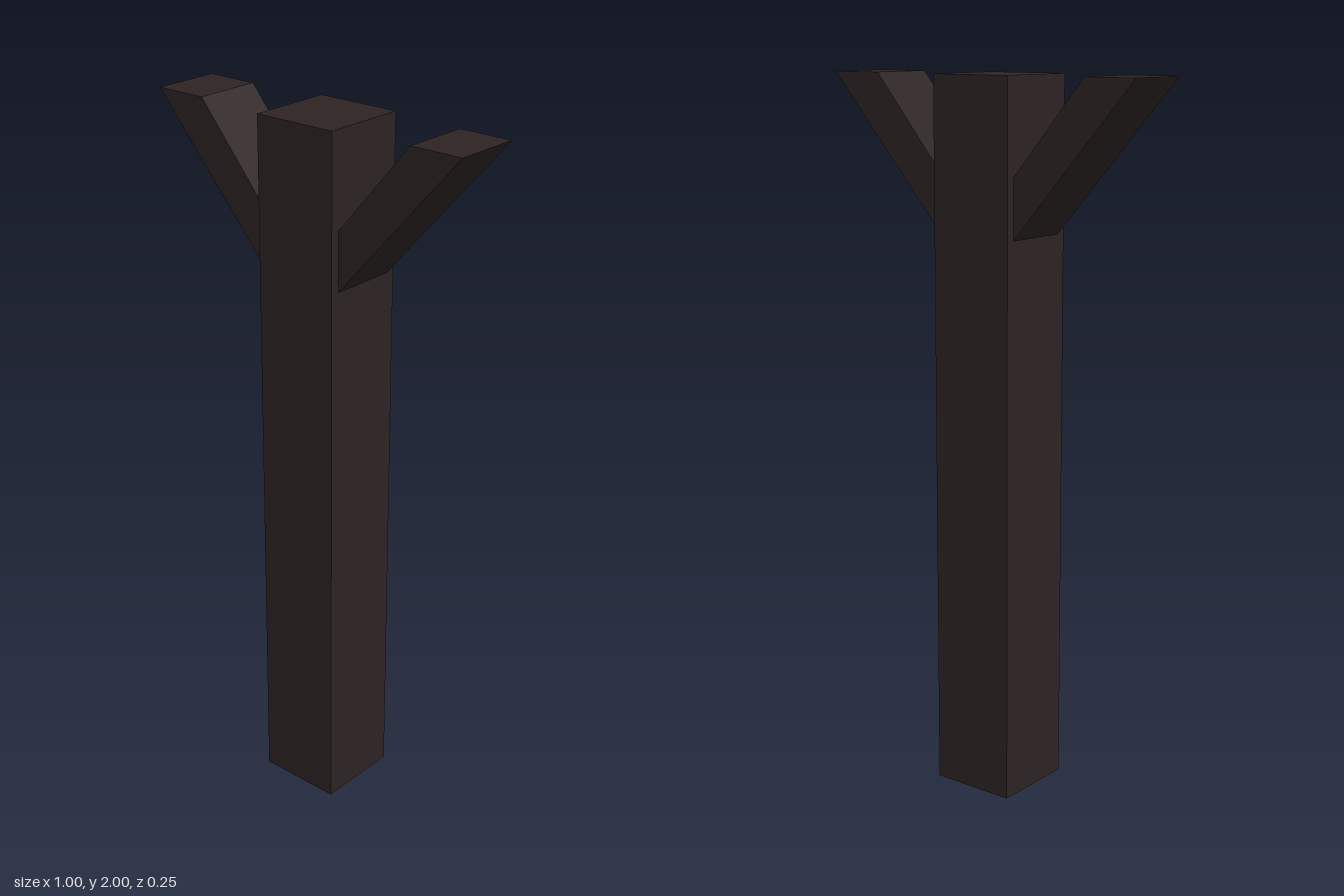
import * as THREE from 'three';

export function createModel() {
  const model = new THREE.Group();
  const bark = new THREE.MeshStandardMaterial({ color: 0x2d2323 });
  bark.name = 'dark bark';

  // Square trunk
  const trunk = new THREE.Mesh(new THREE.BoxGeometry(0.248, 2, 0.248), bark);
  trunk.name = 'trunk';
  trunk.position.y = 1;
  model.add(trunk);

  // Slanted branches, cut level at the top and flush with the trunk sides
  const depth = 0.196;
  for (const [side, name] of [[1, 'leftBranch'], [-1, 'rightBranch']]) {
    const outline = new THREE.Shape(
      [[0.124, 1.575], [0.5, 2], [0.345, 2], [0.124, 1.74]]
        .map(([x, y]) => new THREE.Vector2(side * x, y))
    );
    const geometry = new THREE.ExtrudeGeometry(outline, { depth, bevelEnabled: false });
    geometry.translate(0, 0, -depth / 2);
    const branch = new THREE.Mesh(geometry, bark);
    branch.name = name;
    model.add(branch);
  }

  return model;
}
